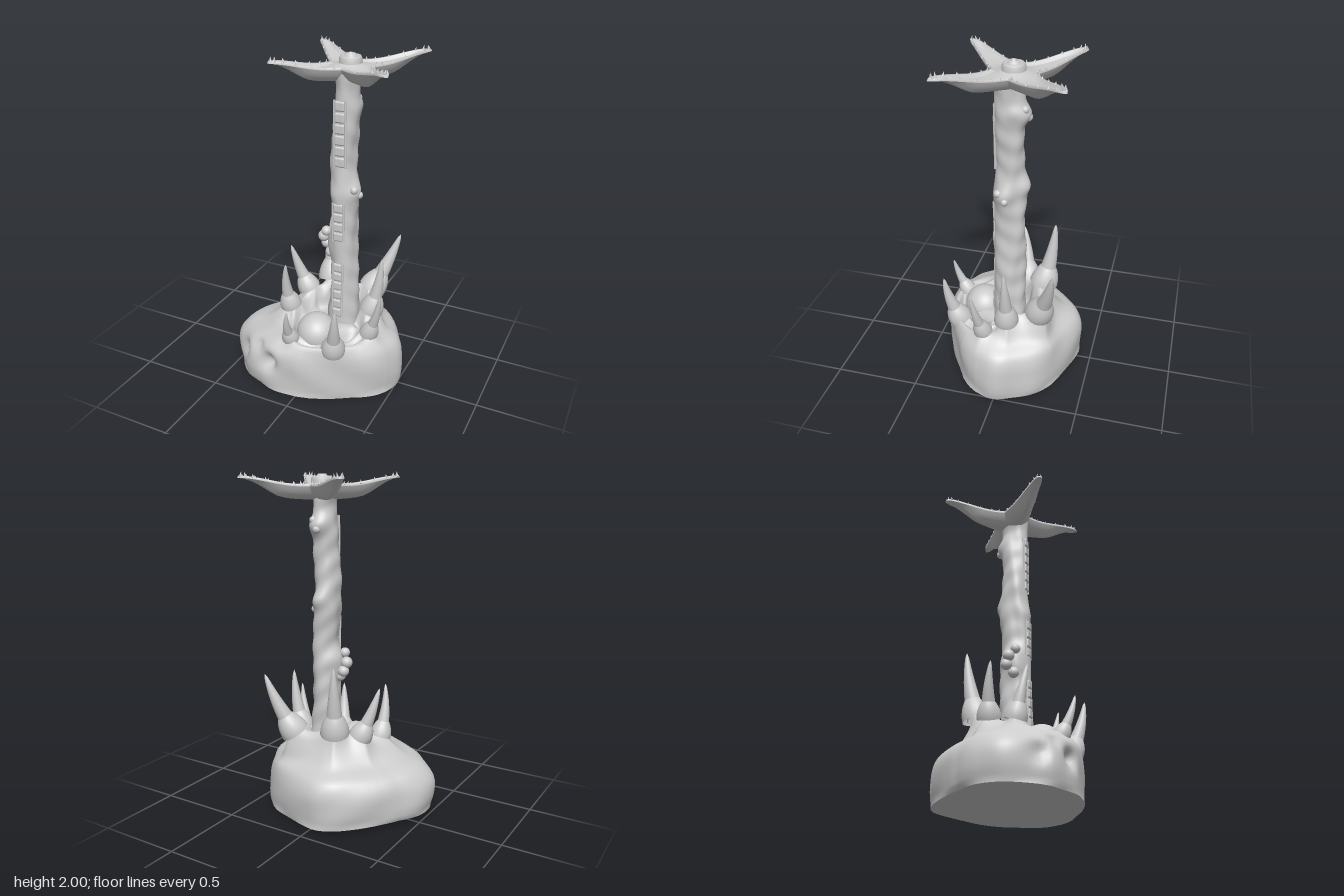
import * as THREE from 'three';
import { RoundedBoxGeometry } from 'three/addons/geometries/RoundedBoxGeometry.js';

const V = (x, y, z) => new THREE.Vector3(x, y, z);
const lerp = THREE.MathUtils.lerp;
const TAU = Math.PI * 2;
const mat = new THREE.MeshStandardMaterial({ color: 0xcccccc, side: THREE.DoubleSide });

function add(parent, name, geometry) {
  const m = new THREE.Mesh(geometry, mat);
  m.name = name;
  parent.add(m);
  return m;
}

// Skin over closed rings of points; rings rise while running clockwise seen from above
function loft(rings) {
  const n = rings[0].length, idx = [];
  for (let r = 0; r < rings.length - 1; r++)
    for (let i = 0; i < n; i++) {
      const a = r * n + i, b = r * n + (i + 1) % n;
      idx.push(a, a + n, b, b, a + n, b + n);
    }
  const g = new THREE.BufferGeometry().setFromPoints(rings.flat());
  g.setIndex(idx);
  g.computeVertexNormals();
  return g;
}

// Linear lookup in rows [key, ...values]
function lookup(rows, k) {
  let i = 0;
  while (i < rows.length - 2 && rows[i + 1][0] < k) i++;
  const t = THREE.MathUtils.smoothstep(k, rows[i][0], rows[i + 1][0]);
  return rows[i].map((v, j) => lerp(v, rows[i + 1][j], t));
}

const lumps = (x, y, z) =>
  Math.sin(x * 23 + y * 17 + 1) * Math.sin(y * 29 - z * 13) + 0.6 * Math.sin(z * 37 + y * 11 + x * 19 + 2);

// Horns: [base, tip, base radius], in order around the crater
const HORNS = [
  [V(0.34, 0.42, 0.10), V(0.425, 0.67, 0.15), 0.036],
  [V(0.20, 0.38, 0.29), V(0.245, 0.64, 0.37), 0.047],
  [V(-0.06, 0.40, 0.32), V(-0.04, 0.58, 0.405), 0.033],
  [V(-0.17, 0.49, 0.11), V(-0.165, 0.75, 0.18), 0.042],
  [V(-0.13, 0.53, -0.06), V(-0.23, 0.78, -0.01), 0.045],
  [V(-0.03, 0.57, -0.18), V(-0.06, 0.93, -0.24), 0.055],
  [V(0.23, 0.54, -0.21), V(0.37, 0.85, -0.31), 0.055],
  [V(0.30, 0.50, -0.03), V(0.36, 0.81, -0.03), 0.047],
];

function makeBase() {
  const C = V(0.07, 0, 0.03);
  const outline = new THREE.CatmullRomCurve3([
    [0.515, 0], [0.49, 0.1], [0.42, 0.2], [0.3, 0.28], [0.17, 0.36], [0.03, 0.415], [-0.15, 0.43], [-0.25, 0.4],
    [-0.36, 0.36], [-0.45, 0.27], [-0.51, 0.15], [-0.5, 0.02], [-0.41, -0.12], [-0.28, -0.29], [-0.15, -0.4],
    [-0.05, -0.435], [0.04, -0.42], [0.18, -0.37], [0.32, -0.31], [0.42, -0.22], [0.48, -0.1],
  ].map(([x, z]) => V(x, 0, z)), true).getPoints(400);
  const rim = new THREE.CatmullRomCurve3(HORNS.map(h => h[0]), true);
  const dents = [[V(-0.39, 0.19, 0.33), 0.055, 0.05], [V(-0.18, 0.2, 0.42), 0.05, 0.06],
    [V(-0.10, 0.36, 0.40), 0.05, 0.03], [V(-0.27, 0.27, 0.36), 0.04, 0.03]];
  const N = 144, M = 48;
  const rings = Array.from({ length: M + 1 }, () => []);
  for (let i = 0; i < N; i++) {
    const u = i / N, p = rim.getPoint(u);
    const ang = Math.atan2(p.z - C.z, p.x - C.x);
    const dir = V(Math.cos(ang), 0, Math.sin(ang));
    const gap = Math.abs(Math.sin(u * 8 * Math.PI));
    const r0 = Math.hypot(p.x - C.x, p.z - C.z) - 0.02 * gap;
    // outline point nearest in direction
    let R = 0, best = -2;
    for (const o of outline) {
      const d = o.clone().sub(C), c = d.dot(dir) / d.length();
      if (c > best) { best = c; R = d.length(); }
    }
    const top = p.y - 0.055 * gap;
    const at = f => lerp(r0 + 0.03, R, f);
    const foot = 0.015 - 0.03 * (C.x + dir.x * R);
    const prof = new THREE.CatmullRomCurve3([
      V(at(0.95), foot, 0), V(at(1), 0.12, 0), V(at(0.97), 0.22, 0), V(at(0.8), 0.29, 0), V(at(0.4), 0.345, 0),
      V(at(0.12), lerp(0.36, top, 0.45), 0), V(r0 + 0.015, top - 0.02, 0), V(r0 - 0.02, top, 0),
      V(r0 - 0.06, top - 0.05, 0), V(r0 * 0.55, 0.37, 0), V(0.001, 0.37, 0),
    ]);
    for (let j = 0; j <= M; j++) {
      const q = prof.getPoint(j / M);
      const w = V(C.x + dir.x * q.x, q.y, C.z + dir.z * q.x);
      let push = j && j < M ? 0.006 * lumps(w.x * 0.6, w.y * 0.5, w.z * 0.6) : 0;
      for (const [c, s, depth] of dents) push -= depth * Math.exp(-w.distanceToSquared(c) / (s * s));
      rings[j].push(w.addScaledVector(dir, push * Math.min(1, q.x / 0.2)));
    }
  }
  const g = new THREE.Group();
  g.name = 'rockBase';
  add(g, 'rock', loft(rings));
  add(g, 'underside', loft([rings[0].map(() => V(C.x, 0.012, C.z)), rings[0].map(p => p.clone())]));
  const boulder = add(g, 'boulder', new THREE.SphereGeometry(0.12, 32, 20));
  boulder.position.set(0.04, 0.345, 0.18);
  return g;
}

// Tapered tube along a slightly bowed path
function taper(curve, radius, t0, t1, steps = 16) {
  const rings = [];
  for (let j = 0; j <= steps; j++) {
    const t = lerp(t0, t1, j / steps), p = curve.getPoint(t), d = curve.getTangent(t);
    const q = new THREE.Quaternion().setFromUnitVectors(V(0, 1, 0), d);
    rings.push(Array.from({ length: 20 }, (_, i) => {
      const a = i / 20 * TAU, r = radius(j / steps);
      return V(Math.cos(a) * r, 0, Math.sin(a) * r).applyQuaternion(q).add(p);
    }));
  }
  return loft(rings);
}

function makeHorn([base, tip, r]) {
  const g = new THREE.Group();
  g.name = 'horn';
  const root = base.clone().add(V(0, -0.05, 0));
  const mid = root.clone().lerp(tip, 0.5).add(V((base.x - 0.08) * 0.1, -0.005, (base.z - 0.03) * 0.1));
  const curve = new THREE.QuadraticBezierCurve3(root, mid, tip);
  add(g, 'spike', taper(curve, t => r * (t > 0.999 ? 0.001 : Math.pow(1 - t, 0.75) + 0.06), 0, 1));
  add(g, 'socket', taper(curve, t => r * lerp(1.55, 0.8, t * t), 0, 0.3, 10));
  return g;
}

// Column rows: y, centre x, half width in x, half depth in z
const COLUMN = [[0.34, 0.13, 0.1, 0.1], [0.7, 0.135, 0.078, 0.092], [1.0, 0.135, 0.066, 0.09], [1.2, 0.13, 0.074, 0.093],
  [1.4, 0.12, 0.072, 0.08], [1.65, 0.13, 0.07, 0.083], [1.8, 0.14, 0.06, 0.08], [1.9, 0.14, 0.075, 0.085]];
const CZ = -0.01;

function makeColumn() {
  const g = new THREE.Group();
  g.name = 'column';
  const knobs = [[V(0.215, 1.22, 0.02), 0.05, 0.03], [V(0.14, 1.7, -0.1), 0.06, 0.035], [V(0.08, 1.2, 0.08), 0.05, 0.012],
    [V(0.05, 0.9, -0.01), 0.08, 0.035], [V(0.13, 1.27, -0.09), 0.05, 0.02], [V(0.2, 1.72, -0.05), 0.04, 0.015]];
  const rings = [];
  for (let j = 0; j <= 130; j++) {
    const y = lerp(0.34, 1.9, j / 130), [, cx, rx, rz] = lookup(COLUMN, y);
    rings.push(Array.from({ length: 56 }, (_, i) => {
      const a = i / 56 * TAU, d = V(Math.cos(a), 0, Math.sin(a));
      const p = V(cx + d.x * rx, y, CZ + d.z * rz);
      const front = Math.max(0, d.z) ** 3;
      let push = 0.0055 * (1 - front) * lumps(p.x * 1.4, y, p.z * 1.4);
      for (const [c, s, h] of knobs) push += h * Math.exp(-p.distanceToSquared(c) / (s * s));
      return p.addScaledVector(d, push);
    }));
  }
  add(g, 'trunk', loft(rings));
  // Clusters of small lumps on the trunk
  const balls = [[0, 0.9, 0, 0.035], [0.03, 0.95, 0.03, 0.03], [0.01, 0.85, -0.02, 0.034], [0.05, 0.81, 0.01, 0.033],
    [0.22, 1.2, 0, 0.022], [0.205, 1.24, 0.04, 0.024], [0.13, 1.68, -0.11, 0.025], [0.16, 1.73, -0.1, 0.022]];
  for (const [x, y, z, r] of balls) add(g, 'lump', new THREE.SphereGeometry(r, 16, 12)).position.set(x, y, z);
  // Three strips of pads framed by rails: bottom, top, pad count, half width
  for (const [y0, y1, n, w] of [[1.37, 1.75, 6, 0.034], [0.92, 1.16, 4, 0.034], [0.42, 0.78, 6, 0.03]]) {
    const strip = new THREE.Group();
    strip.name = 'padStrip';
    g.add(strip);
    const h = (y1 - y0) / n;
    for (let i = 0; i < n; i++) {
      const y = y0 + (i + 0.5) * h, rz = lookup(COLUMN, y)[3];
      const pad = add(strip, 'pad', new RoundedBoxGeometry(w * 1.75, h * 0.9, 0.03, 3, 0.011));
      pad.position.set(0.126, y, CZ + rz - 0.009);
    }
    for (const s of [-1, 1]) {
      const path = Array.from({ length: 7 }, (_, i) => {
        const y = lerp(y0, y1, i / 6);
        return V(0.126 + s * w, y, CZ + lookup(COLUMN, y)[3] - 0.006);
      });
      add(strip, 'rail', new THREE.TubeGeometry(new THREE.CatmullRomCurve3(path), 24, 0.007, 8));
    }
  }
  return g;
}

function makeStar() {
  const g = new THREE.Group();
  g.name = 'star';
  g.position.set(0.14, 0, -0.035);
  // Half outline of an arm: distance along it, half width
  const arm = new THREE.CatmullRomCurve3([[0.086, 0.086], [0.12, 0.078], [0.18, 0.066], [0.28, 0.05], [0.38, 0.033],
    [0.44, 0.022], [0.466, 0.008], [0.47, 0]].map(([d, w]) => V(d, 0, w)));
  const lengths = [1.02, 0.97, 0.98, 1.01];
  const half = 26, edge = [];
  for (let k = 0; k < 4; k++) {
    const a = Math.PI / 4 + k * Math.PI / 2;
    const place = (t, s) => {
      const p = arm.getPoint(t), d = p.x * lerp(1, lengths[k], t);
      return V(d * Math.cos(a) - s * p.z * Math.sin(a), 0, d * Math.sin(a) + s * p.z * Math.cos(a));
    };
    for (let i = 0; i < half; i++) edge.push(place(i / half, -1));
    for (let i = half; i > 0; i--) edge.push(place(i / half, 1));
  }
  const rimY = r => 1.925 + 0.045 * THREE.MathUtils.smoothstep(r, 0.15, 0.47);
  const keel = r => 1.842 + 0.105 * THREE.MathUtils.smoothstep(r, 0.22, 0.49);
  const ring = (s, yOf) => edge.map(e => {
    const R = e.length();
    return V(e.x * s, yOf(R * s, R), e.z * s);
  });
  const rings = [];
  for (let j = 0; j <= 14; j++) {
    const s = Math.max(0.002, Math.sin(j / 14 * Math.PI / 2));
    rings.push(ring(s, (r, R) => lerp(keel(r), rimY(R) - 0.008, s ** 3)));
  }
  rings.push(ring(0.985, (r, R) => rimY(R) + 0.004), ring(0.95, (r, R) => rimY(R)));
  for (let j = 1; j <= 12; j++) {
    const s = Math.max(0.002, 0.9 * (1 - j / 12));
    rings.push(ring(s, r => rimY(r) - 0.014 + 0.045 * Math.exp(-r * r / 0.006)));
  }
  add(g, 'body', loft(rings));
  // Ringed mouth in the middle
  const mouth = [[0.064, 1.93], [0.062, 1.958], [0.054, 1.972], [0.046, 1.972], [0.038, 1.966], [0.03, 1.974],
    [0.022, 1.985], [0.016, 1.983], [0.011, 1.962], [0.0005, 1.96]].map(([x, y]) => new THREE.Vector2(x, y));
  add(g, 'mouth', new THREE.LatheGeometry(mouth, 40));
  // Small teeth along the rim
  edge.forEach((e, i) => {
    const j = i % (2 * half);
    if (j % 3 !== 1 || Math.abs(j - half) < 3 || j < 3) return;
    const tall = 0.024 + 0.01 * Math.sin(i * 2.3), R = e.length();
    const tooth = add(g, 'tooth', new THREE.ConeGeometry(0.0075, tall, 8));
    tooth.position.set(e.x * 0.97, rimY(R) + tall * 0.4, e.z * 0.97);
    tooth.rotation.set(0.25 * Math.sin(i), 0, 0.25 * Math.cos(i * 1.7));
  });
  return g;
}

export function createModel() {
  const model = new THREE.Group();
  model.name = 'spikedPillar';
  model.add(makeBase(), makeColumn(), makeStar(), ...HORNS.map(makeHorn));
  return model;
}
